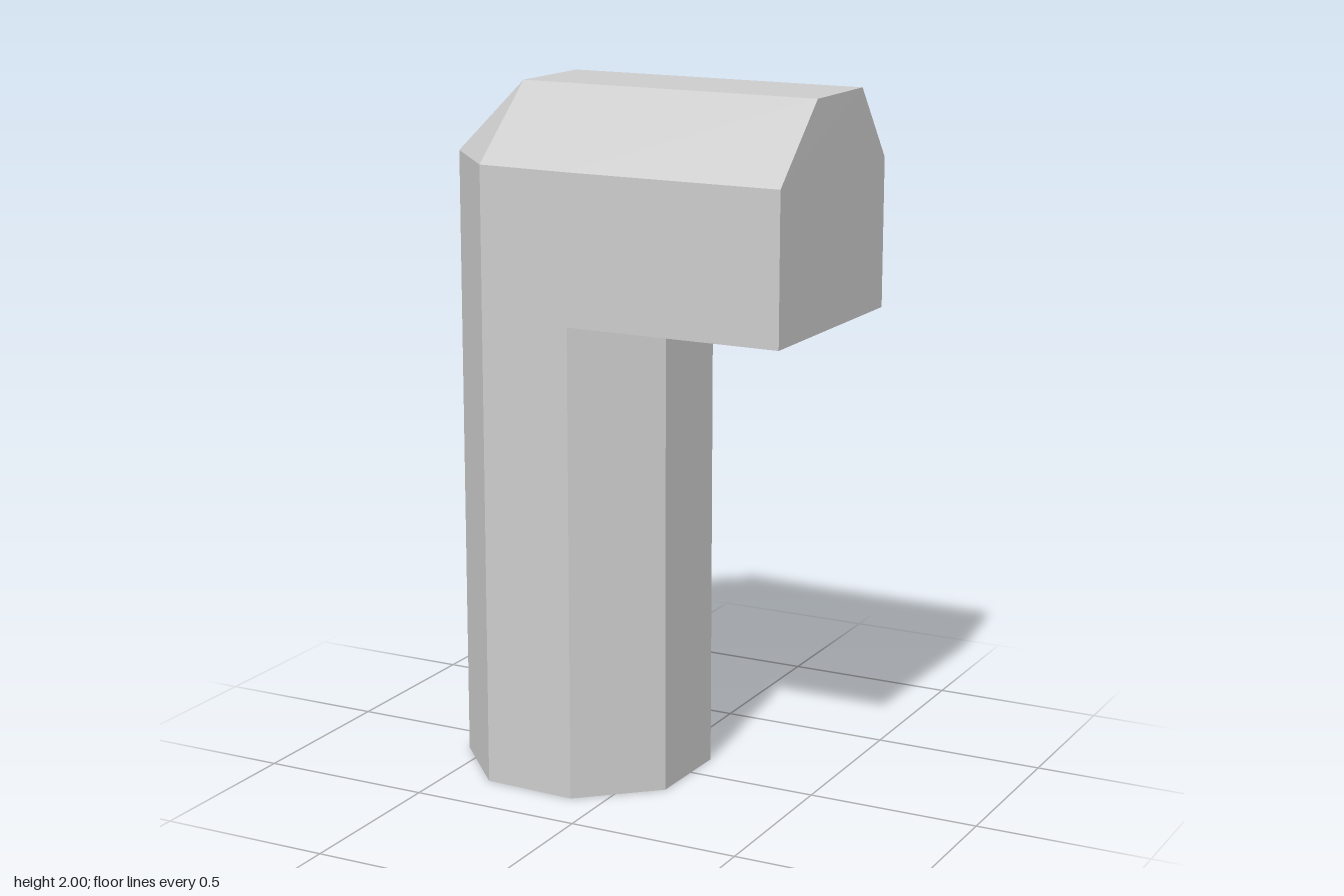
import * as THREE from 'three';

// Skin a stack of closed rings (counter-clockwise from above) and cap both ends
function loft(rings) {
  const pos = [];
  const tri = (a, b, c) => {
    const area = new THREE.Triangle(a, b, c).getArea();
    if (area > 1e-6) for (const p of [a, b, c]) pos.push(p.x, p.y, p.z);
  };
  const n = rings[0].length;
  for (let r = 0; r < rings.length - 1; r++) {
    const lo = rings[r], hi = rings[r + 1];
    for (let i = 0; i < n; i++) {
      const j = (i + 1) % n;
      tri(lo[i], lo[j], hi[j]);
      tri(lo[i], hi[j], hi[i]);
    }
  }
  const bottom = rings[0], top = rings[rings.length - 1];
  for (let i = 1; i < n - 1; i++) {
    tri(bottom[0], bottom[i + 1], bottom[i]);
    tri(top[0], top[i], top[i + 1]);
  }
  const g = new THREE.BufferGeometry();
  g.setAttribute('position', new THREE.Float32BufferAttribute(pos, 3));
  g.computeVertexNormals();
  return g;
}

const ring = (outline, y) => outline.map(([x, z]) => new THREE.Vector3(x, y, z));

export function createModel() {
  const grey = new THREE.MeshStandardMaterial({ color: 0xcccccc, flatShading: true });
  grey.name = 'light grey';

  // Slightly turned octagon, point-symmetric about the column axis
  const axisX = -0.22;
  const half = [[-0.34, 0.122], [-0.15, 0.328], [0.125, 0.34], [0.333, 0.155]];
  const octagon = [...half, ...half.map(([x, z]) => [-x, -z])].map(([x, z]) => [x + axisX, z]);

  // Head outline: the octagon with its right corners pulled out to the end face
  const head = octagon.map((p) => [...p]);
  head[3] = [0.54, 0.34];
  head[4] = [0.555, -0.312];

  // Flat top, inset by the bevels
  const top = [[-0.348, 0.122], [-0.348, 0.122], [-0.095, 0.122], [0.544, 0.122],
    [0.552, -0.155], [-0.07, -0.155], [-0.335, -0.155], [-0.335, -0.155]];

  const group = new THREE.Group();
  const add = (name, rings) => {
    const mesh = new THREE.Mesh(loft(rings), grey);
    mesh.name = name;
    group.add(mesh);
  };
  add('column', [ring(octagon, 0), ring(octagon, 1.365)]);
  add('head', [ring(head, 1.365), ring(head, 1.79), ring(top, 2)]);
  return group;
}
